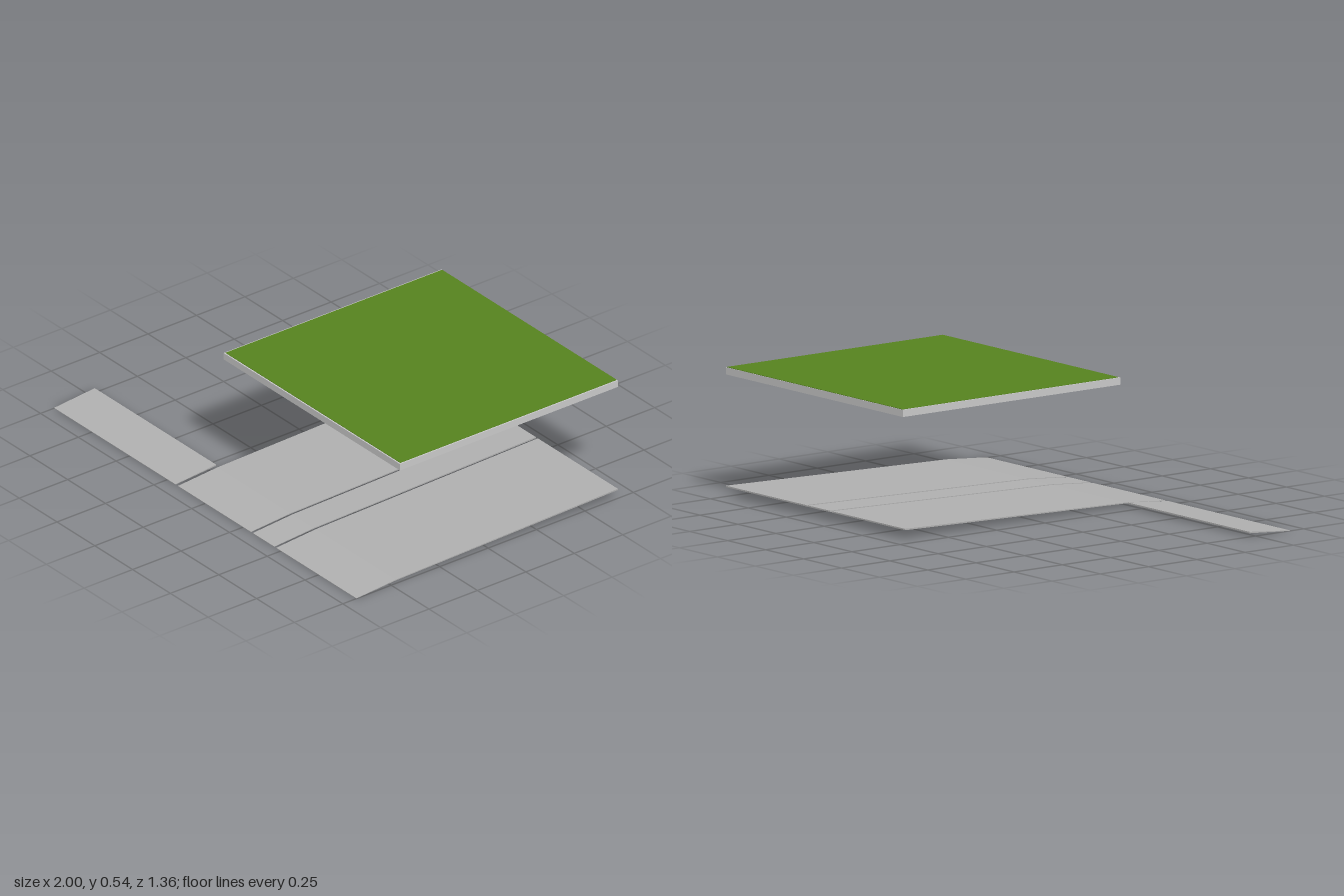
import * as THREE from 'three';

export function createModel() {
  const model = new THREE.Group();
  const paving = new THREE.MeshStandardMaterial({ name: 'paving grey', color: 0xb0b0b0 });
  const concrete = new THREE.MeshStandardMaterial({ name: 'roof grey', color: 0xcacaca });
  const grass = new THREE.MeshStandardMaterial({ name: 'roof green', color: 0x56831f });

  // Side profile given as [z, y], extruded from x0 to x1
  function slab(name, profile, x0, x1) {
    const shape = new THREE.Shape(profile.map(([z, y]) => new THREE.Vector2(z, y)));
    const geometry = new THREE.ExtrudeGeometry(shape, { depth: x1 - x0, bevelEnabled: false });
    geometry.rotateY(-Math.PI / 2).translate(x1, 0, 0);
    const mesh = new THREE.Mesh(geometry, paving);
    mesh.name = name;
    model.add(mesh);
  }

  // Box between two corners
  function box(name, min, max, material) {
    const size = max.map((v, i) => v - min[i]);
    const mesh = new THREE.Mesh(new THREE.BoxGeometry(...size), material);
    mesh.position.set(...max.map((v, i) => (v + min[i]) / 2));
    mesh.name = name;
    model.add(mesh);
  }

  // Sloping ground strips: steeper ramp at the front, gentle rise behind
  const ground = [[0.68, 0], [0.475, 0.014], [-0.67, 0.039], [-0.67, 0.045], [0.475, 0.018], [0.68, 0.002]];
  slab('groundRight', ground, -0.18, 0.302);
  slab('groundMiddle', ground, 0.315, 0.457);
  slab('groundLeft', ground, 0.47, 1);

  // Short ramp alongside
  const ramp = [[0.68, 0], [0.47, 0.015], [0.47, 0.021], [0.68, 0.002]];
  slab('sideRamp', ramp, -1, -0.197);

  // Floating roof with its green covering
  box('roofSlab', [-0.182, 0.51, -0.682], [0.985, 0.54, 0.443], concrete);
  box('roofCovering', [-0.176, 0.539, -0.68], [0.979, 0.542, 0.437], grass);

  return model;
}
